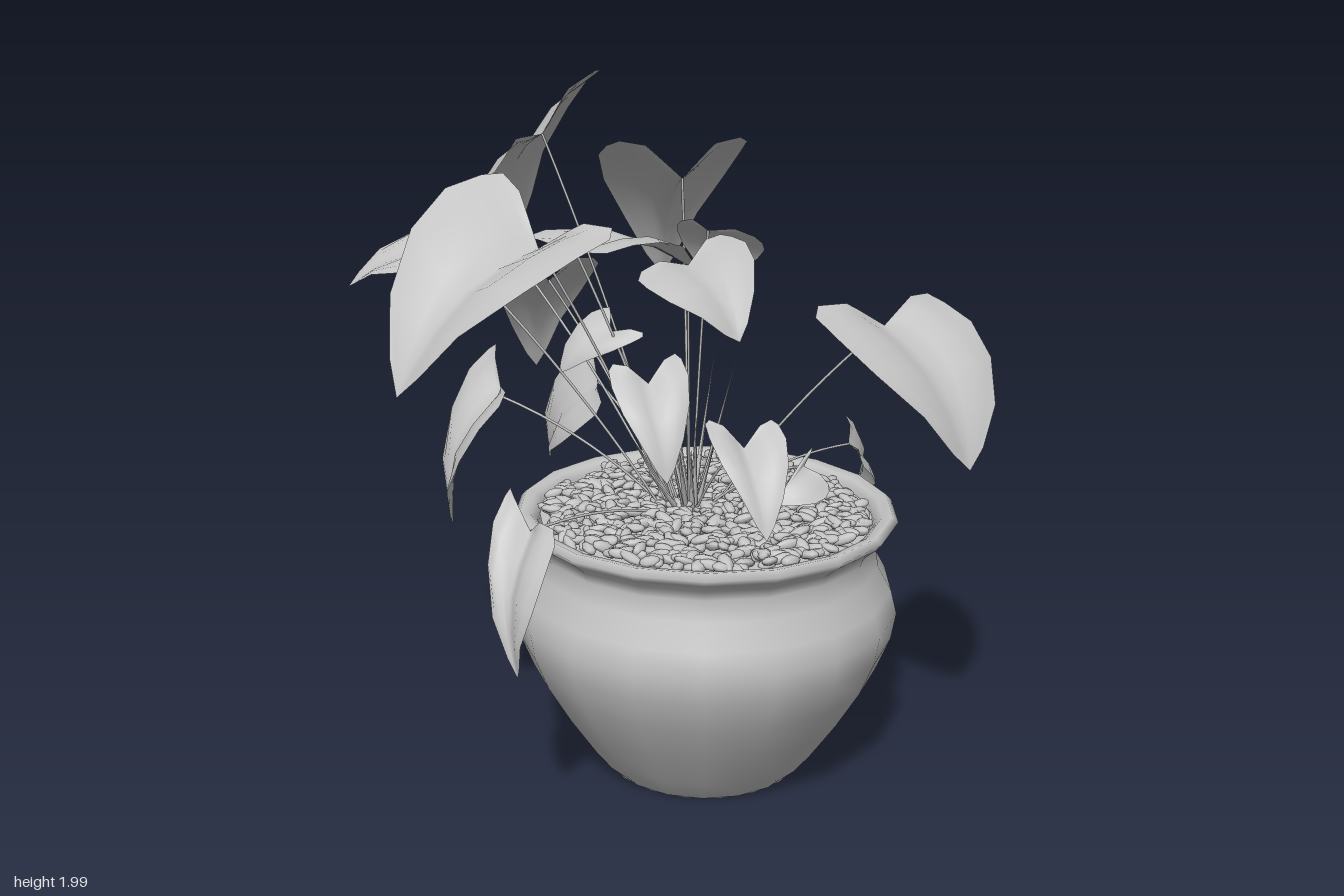
import * as THREE from 'three';
import { mergeGeometries, mergeVertices } from 'three/addons/utils/BufferGeometryUtils.js';

const CENTRE_X = 0.11, CENTRE_Z = 0.22;

// Half outline of a heart-shaped leaf: u to the lobe, v to the tip, m on the midrib
const OUTLINE = [
  [0, 0, 0], [0.5, -0.08, 0.01], [0.85, -0.06, 0.04], [1, 0.04, 0.1], [1.04, 0.24, 0.24],
  [0.9, 0.5, 0.45], [0.56, 0.76, 0.68], [0.24, 0.93, 0.88], [0, 1, 1],
];

// Leaf blade from its notch, tip and two lobe points
function leafGeometry(notch, tip, lobeA, lobeB) {
  const axis = tip.clone().sub(notch);
  const sides = [lobeA.clone().sub(notch), lobeB.clone().sub(notch)];
  const normal = sides[0].clone().sub(sides[1]).cross(axis).normalize();
  if (normal.y < 0) normal.negate();
  const len = axis.length(), cols = 4, pos = [], index = [];
  sides.forEach((side, s) => {
    const start = pos.length / 3;
    OUTLINE.forEach(([u, v, m]) => {
      for (let c = 0; c <= cols; c++) {
        const t = c / cols, a = u * t, b = m + (v - m) * t;
        const arch = len * (0.14 * Math.sin(Math.PI * Math.max(0, b)) + 0.05 * Math.sin(Math.PI * a) ** 2);
        const p = notch.clone().addScaledVector(side, a).addScaledVector(axis, b).addScaledVector(normal, arch);
        pos.push(p.x, p.y, p.z);
      }
    });
    for (let r = 0; r < OUTLINE.length - 1; r++) {
      for (let c = 0; c < cols; c++) {
        const i = start + r * (cols + 1) + c, j = i + cols + 1;
        if (s === 0) index.push(i, j, i + 1, i + 1, j, j + 1);
        else index.push(i, i + 1, j, i + 1, j + 1, j);
      }
    }
  });
  const g = new THREE.BufferGeometry();
  g.setAttribute('position', new THREE.Float32BufferAttribute(pos, 3));
  g.setIndex(index);
  // Weld the halves so the midrib shades smoothly
  const welded = mergeVertices(g, 1e-5);
  welded.computeVertexNormals();
  return welded;
}

export function createModel() {
  const group = new THREE.Group();
  const grey = new THREE.MeshStandardMaterial({ color: 0xc4c4c4, side: THREE.DoubleSide });
  grey.name = 'plain grey';

  const add = (name, geometry, parent = group) => {
    const mesh = new THREE.Mesh(geometry, grey);
    mesh.name = name;
    parent.add(mesh);
    return mesh;
  };

  // Pot with a rounded belly, narrow neck and flared rim
  const profile = [
    [0.295, 0], [0.31, 0.015], [0.36, 0.08], [0.44, 0.2], [0.51, 0.32], [0.55, 0.42], [0.563, 0.5],
    [0.545, 0.57], [0.505, 0.64], [0.495, 0.7], [0.505, 0.73], [0.54, 0.76], [0.557, 0.78],
    [0.54, 0.797], [0.51, 0.79], [0.49, 0.77], [0.48, 0.72],
  ].map(([r, y]) => new THREE.Vector2(r, y));
  add('pot', new THREE.LatheGeometry(profile, 18)).position.set(CENTRE_X, 0, CENTRE_Z);
  const base = add('potBase', new THREE.CircleGeometry(0.296, 18));
  base.rotation.x = Math.PI / 2;
  base.position.set(CENTRE_X, 0.001, CENTRE_Z);
  const soil = add('soil', new THREE.CircleGeometry(0.485, 18));
  soil.rotation.x = -Math.PI / 2;
  soil.position.set(CENTRE_X, 0.765, CENTRE_Z);

  // Plump, pointed bark chips scattered over the soil
  let seed = 7;
  const rand = () => (seed = (seed * 16807) % 2147483647) / 2147483647;
  const chips = [];
  for (let i = 0; i < 850; i++) {
    const g = new THREE.SphereGeometry(1, 7, 5);
    const r = 0.465 * Math.sqrt(rand()), a = rand() * Math.PI * 2;
    g.rotateZ(Math.PI / 2);
    g.scale(0.028 + rand() * 0.012, 0.012 + rand() * 0.004, 0.016 + rand() * 0.006);
    g.rotateX(rand() * 0.8 - 0.4);
    g.rotateZ(rand() * 0.8 - 0.4);
    g.rotateY(rand() * Math.PI * 2);
    g.translate(CENTRE_X + r * Math.cos(a), 0.77 + rand() * 0.022, CENTRE_Z + r * Math.sin(a));
    chips.push(g);
  }
  add('barkChips', mergeGeometries(chips));

  // Each leaf with a thin arching stem from the crown
  const leaf = (name, ...points) => {
    const [notch, tip, lobeA, lobeB] = points.map((p) => new THREE.Vector3(...p));
    const plant = new THREE.Group();
    plant.name = name;
    group.add(plant);
    add('blade', leafGeometry(notch, tip, lobeA, lobeB), plant);
    const root = new THREE.Vector3(0.07 + notch.x * 0.12, 0.76, 0.15 + notch.z * 0.1);
    const mid = root.clone().lerp(notch, 0.45);
    mid.y += 0.05 + 0.02 * notch.y;
    const curve = new THREE.QuadraticBezierCurve3(root, mid, notch);
    add('stem', new THREE.TubeGeometry(curve, 10, 0.004, 5), plant);
  };

  // Points: notch, tip, left lobe, right lobe
  leaf('tallBackLeaf', [-0.2, 1.8, -0.4], [-0.17, 1.48, -0.78], [-0.03, 2.0, -0.31], [-0.39, 1.73, -0.18]);
  leaf('wideBackLeaf', [0.13, 1.7, -0.06], [0.19, 1.34, -0.42], [0.32, 1.81, -0.02], [-0.1, 1.81, -0.05]);
  leaf('curledBackLeaf', [0.16, 1.57, 0.08], [0.21, 1.39, -0.04], [0.3, 1.54, 0.15], [0.06, 1.6, 0.1]);
  leaf('lowBackLeaf', [-0.2, 1.36, -0.35], [-0.17, 1.01, -0.65], [-0.05, 1.42, -0.3], [-0.34, 1.4, -0.28]);
  leaf('bigRightLeaf', [-0.38, 1.58, 0.24], [-0.8, 1.24, 0.38], [-0.24, 1.65, 0.5], [-0.45, 1.75, -0.03]);
  leaf('farRightLeaf', [-0.55, 1.52, -0.02], [-0.84, 1.43, -0.13], [-0.56, 1.5, 0.13], [-0.47, 1.57, -0.16]);
  leaf('backRightLeaf', [-0.34, 1.46, -0.13], [-0.64, 1.28, -0.34], [-0.2, 1.4, -0.35], [-0.52, 1.53, -0.02]);
  leaf('hangingRightLeaf', [-0.43, 1.1, -0.02], [-0.59, 0.73, 0.0], [-0.46, 1.13, 0.13], [-0.42, 1.22, -0.17]);
  leaf('upperMiddleLeaf', [-0.24, 1.53, 0.12], [0.12, 1.46, 0.06], [-0.38, 1.56, 0.0], [-0.22, 1.56, 0.29]);
  leaf('frontMiddleLeaf', [0.04, 1.51, 0.25], [0.08, 1.36, 0.55], [0.19, 1.57, 0.17], [-0.14, 1.5, 0.34]);
  leaf('bigLeftLeaf', [0.56, 1.34, 0.42], [0.68, 1.0, 0.73], [0.78, 1.38, 0.32], [0.3, 1.41, 0.5]);
  leaf('lowLeftLeaf', [0.63, 0.88, 0.07], [0.72, 0.68, -0.06], [0.62, 0.85, 0.19], [0.65, 0.95, -0.01]);
  leaf('smallHeartLeaf', [0.14, 1.03, 0.44], [0.14, 0.82, 0.62], [0.245, 1.09, 0.42], [0.04, 1.1, 0.39]);
  leaf('smallFlatLeaf', [0.33, 0.95, 0.42], [0.22, 0.87, 0.48], [0.39, 0.89, 0.47], [0.37, 0.99, 0.38]);
  leaf('frontRightLeaf', [-0.15, 1.25, 0.48], [-0.15, 1.02, 0.64], [-0.05, 1.31, 0.45], [-0.25, 1.29, 0.44]);
  leaf('droopingLeaf', [-0.47, 0.86, 0.45], [-0.55, 0.51, 0.6], [-0.43, 0.88, 0.58], [-0.51, 0.95, 0.36]);
  leaf('innerLeaf', [-0.14, 1.3, 0.1], [-0.28, 1.18, 0.06], [-0.06, 1.3, 0.18], [-0.12, 1.35, 0.0]);
  leaf('innerBackLeaf', [-0.12, 1.1, -0.1], [-0.22, 0.82, -0.28], [-0.14, 1.03, -0.01], [-0.1, 1.19, -0.23]);

  // Narrow young shoots around the crown
  for (let i = 0; i < 12; i++) {
    const a = i * 2.4, h = 0.14 + rand() * 0.3, r = 0.06 + rand() * 0.12;
    const from = new THREE.Vector3(0.07 + 0.03 * Math.cos(a), 0.76, 0.16 + 0.03 * Math.sin(a));
    const to = new THREE.Vector3(from.x + r * Math.cos(a) - 0.05, 0.8 + h, from.z + r * Math.sin(a));
    const shoot = add('shoot', new THREE.ConeGeometry(0.01, from.distanceTo(to), 5));
    shoot.position.copy(from).lerp(to, 0.5);
    shoot.quaternion.setFromUnitVectors(new THREE.Vector3(0, 1, 0), to.clone().sub(from).normalize());
  }

  return group;
}
